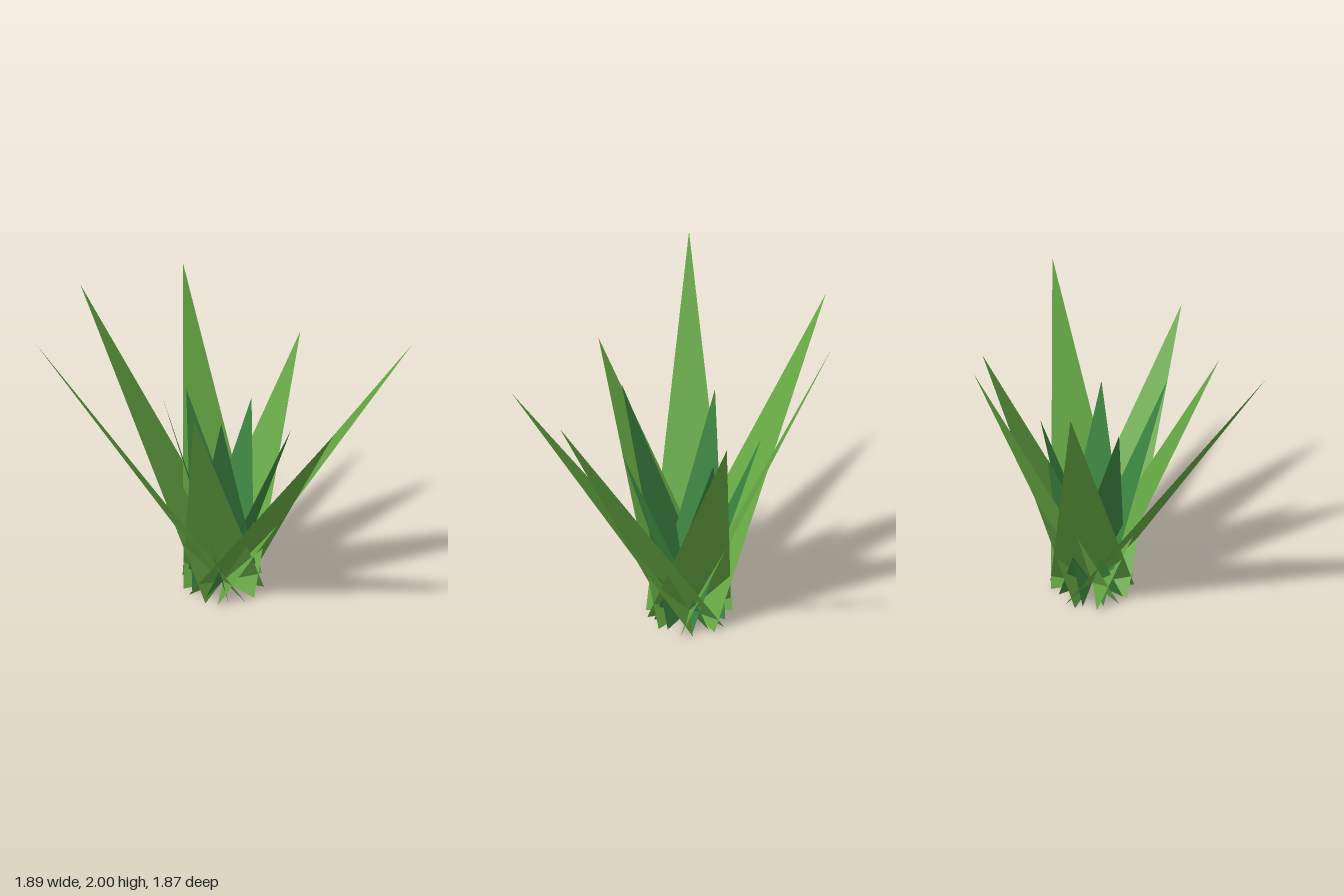
import * as THREE from 'three';

// Shared root of every blade, on the ground
const ROOT = new THREE.Vector3(0.23, 0, -0.068);

// Flat triangular blade: level base centred on the root, square to the lean
function makeBlade(tip, halfWidth, material) {
  const t = new THREE.Vector3(...tip);
  const side = new THREE.Vector3(t.z - ROOT.z, 0, ROOT.x - t.x).setLength(halfWidth);
  const geometry = new THREE.BufferGeometry().setFromPoints([
    ROOT.clone().sub(side), ROOT.clone().add(side), t,
  ]);
  geometry.setIndex([0, 1, 2]);
  geometry.computeVertexNormals();
  return new THREE.Mesh(geometry, material);
}

function makeRing(name, bladeName, tips, halfWidth, color) {
  const ring = new THREE.Group();
  ring.name = name;
  const material = new THREE.MeshStandardMaterial({ color, flatShading: true, side: THREE.DoubleSide });
  tips.forEach((tip, i) => {
    const blade = makeBlade(tip, halfWidth, material);
    blade.name = `${bladeName}${i + 1}`;
    ring.add(blade);
  });
  return ring;
}

export function createModel() {
  const tuft = new THREE.Group();
  tuft.name = 'grassTuft';

  // Seven long, wide-leaning outer blades
  tuft.add(makeRing('outerBlades', 'outerBlade', [
    [0.94, 1.76, 0.74],
    [0.13, 1.55, 0.93],
    [-0.39, 1.6, 0.375],
    [-0.95, 2.0, -0.27],
    [-0.16, 1.885, -0.935],
    [0.52, 1.88, -0.79],
    [0.91, 1.53, -0.135],
  ], 0.267, 0x64a642));

  // Five shorter, steeper and darker inner blades
  tuft.add(makeRing('innerBlades', 'innerBlade', [
    [0.38, 1.24, 0.35],
    [-0.105, 1.43, 0.28],
    [-0.08, 1.36, -0.27],
    [0.275, 1.21, -0.475],
    [0.52, 1.2, -0.145],
  ], 0.237, 0x3b8440));

  return tuft;
}
